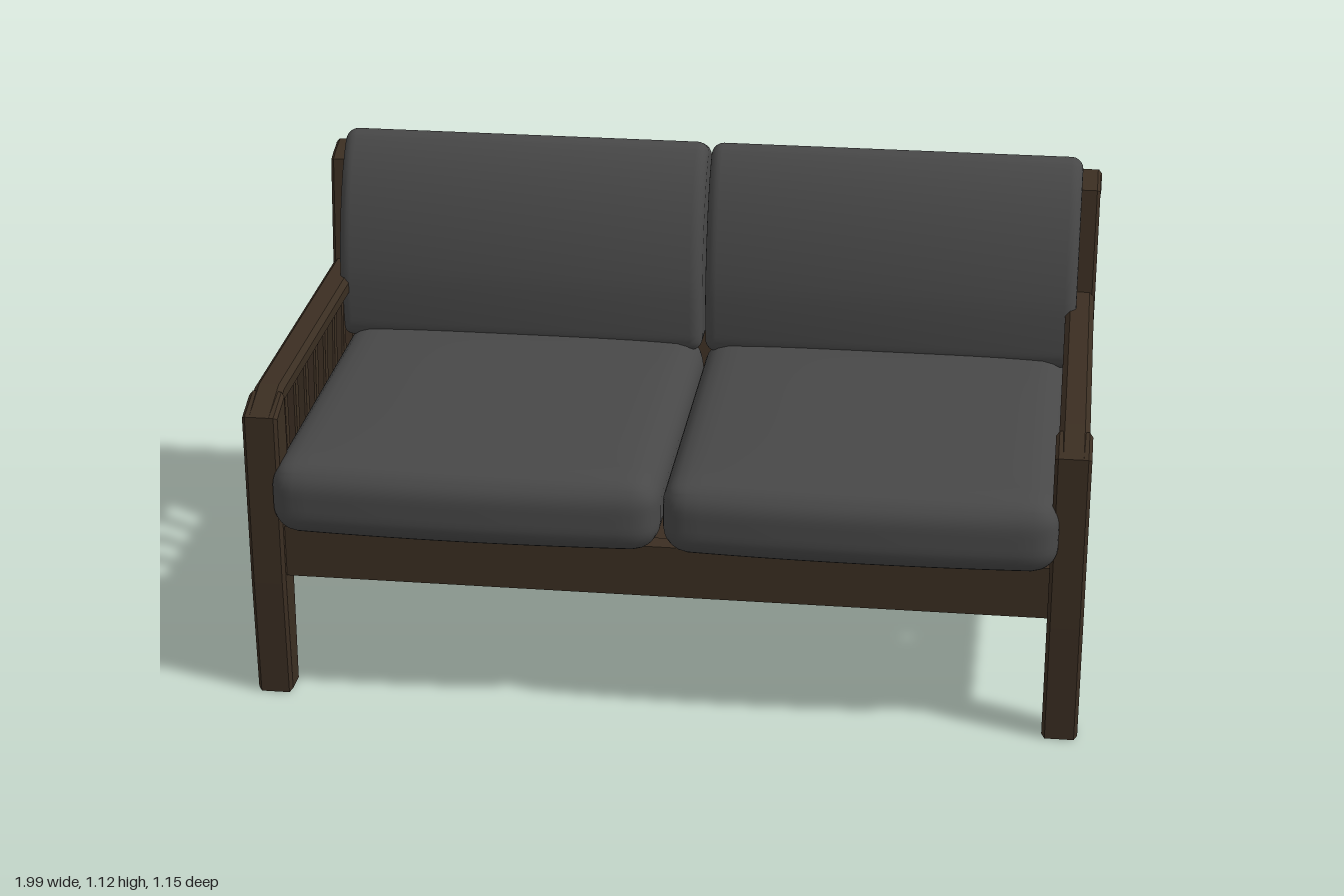
import * as THREE from 'three';
import { mergeVertices, toCreasedNormals } from 'three/addons/utils/BufferGeometryUtils.js';

export function createModel() {
  const root = new THREE.Group();
  root.name = 'twoSeatSofa';
  const wood = new THREE.MeshStandardMaterial({ color: 0x3b2e22 });
  wood.name = 'dark wood';
  const fabric = new THREE.MeshStandardMaterial({ color: 0x484848 });
  fabric.name = 'grey fabric';

  const add = (name, geometry, material = wood) => {
    const mesh = new THREE.Mesh(geometry, material);
    mesh.name = name;
    root.add(mesh);
    return mesh;
  };

  // Side profile of [z, y] points, extruded across x0..x1 with a bevelled edge
  const profile = (points, x0, x1, bevel = 0.008, steps = 1) => {
    const shape = points instanceof THREE.Shape ? points
      : new THREE.Shape(points.map(([z, y]) => new THREE.Vector2(z, y)));
    const g = new THREE.ExtrudeGeometry(shape, {
      depth: x1 - x0 - 2 * bevel, bevelEnabled: true, bevelThickness: bevel,
      bevelSize: bevel, bevelOffset: -bevel, bevelSegments: steps, curveSegments: 8,
    });
    return g.rotateY(-Math.PI / 2).translate(x1 - bevel, 0, 0);
  };
  const box = (x0, x1, y0, y1, z0, z1) =>
    new THREE.BoxGeometry(x1 - x0, y1 - y0, z1 - z0)
      .translate((x0 + x1) / 2, (y0 + y1) / 2, (z0 + z1) / 2);

  // Rounded box with a soft swelling of the top and front
  const seatCushion = (cx) => {
    const half = [0.464, 0.092, 0.485], r = 0.065;
    let g = new THREE.BoxGeometry(2, 2, 2, 24, 12, 24);
    g.deleteAttribute('normal');
    g.deleteAttribute('uv');
    g = mergeVertices(g);
    const p = g.attributes.position;
    const v = new THREE.Vector3(), core = new THREE.Vector3();
    for (let i = 0; i < p.count; i++) {
      v.fromBufferAttribute(p, i);
      const ease = (t) => Math.sin(t * Math.PI / 2);
      const u = ease(v.x), w = ease(v.z);
      v.set(u * half[0], v.y * half[1], w * half[2]);
      core.set(...half.map((h, k) => THREE.MathUtils.clamp(v.getComponent(k), r - h, h - r)));
      v.sub(core);
      if (v.length() > 0) v.setLength(r);
      v.add(core);
      const swell = (1 - u ** 4) * (1 - w ** 4);
      if (v.y > 0) v.y += 0.016 * swell * v.y / half[1];
      if (v.z > 0) v.z += 0.018 * (1 - u * u) * v.z / half[2];
      p.setXYZ(i, v.x + cx, v.y + 0.538, v.z + 0.072);
    }
    g.computeVertexNormals();
    return g;
  };

  // Leaning back cushion outline: curved front, rounded top, straight back
  const backShape = new THREE.Shape();
  backShape.moveTo(-0.33, 0.61);
  backShape.quadraticCurveTo(-0.305, 0.615, -0.302, 0.66);
  backShape.lineTo(-0.298, 0.76);
  backShape.bezierCurveTo(-0.305, 0.88, -0.35, 1.04, -0.435, 1.115);
  backShape.quadraticCurveTo(-0.455, 1.13, -0.48, 1.122);
  backShape.lineTo(-0.535, 1.1);
  backShape.quadraticCurveTo(-0.568, 1.085, -0.556, 1.04);
  backShape.lineTo(-0.46, 0.63);
  backShape.quadraticCurveTo(-0.45, 0.61, -0.42, 0.61);

  for (const s of [-1, 1]) {
    const side = s > 0 ? 'left' : 'right';
    const span = (a, b) => (s > 0 ? [a, b] : [-b, -a]);
    const [l0, l1] = span(0.91, 0.995);
    const [a0, a1] = span(0.917, 0.988);
    const [p0, p1] = span(0.93, 0.99);
    const [r0, r1] = span(0.925, 0.985);
    const [s0, s1] = span(0.935, 0.972);
    const [c0, c1] = span(0.004, 0.944);

    // Frame side: legs, armrest and rail
    add(side + 'FrontLeg', profile(
      [[0.5, 0], [0.51, 0.3], [0.51, 0.735], [0.42, 0.765], [0.42, 0.32], [0.427, 0]], l0, l1));
    add(side + 'Armrest', profile(
      [[0.51, 0.735], [0.49, 0.705], [0.42, 0.725], [-0.46, 0.725], [-0.46, 0.775], [0.4, 0.775]], a0, a1, 0.012));
    add(side + 'BackLeg', profile(
      [[-0.48, 0], [-0.382, 0.315], [-0.38, 0.46], [-0.438, 0.775], [-0.465, 1.04],
        [-0.5, 1.055], [-0.545, 1.067], [-0.575, 1.04], [-0.475, 0.48], [-0.475, 0.32], [-0.542, 0.01]], p0, p1));
    add(side + 'Rail', box(r0, r1, 0.315, 0.445, -0.43, 0.45));

    // Arm slats lean a little more towards the back
    for (let i = 0; i < 7; i++) {
      const top = 0.315 - i * 0.107, bottom = 0.315 - i * 0.099, h = 0.018;
      add(side + 'ArmSlat', profile(
        [[top + h, 0.735], [top - h, 0.735], [bottom - h, 0.435], [bottom + h, 0.435]], s0, s1, 0.004));
    }

    // Cushions
    add(side + 'SeatCushion', seatCushion(s * 0.467), fabric);
    add(side + 'BackCushion',
      toCreasedNormals(profile(backShape, c0, c1, 0.03, 5), 0.9), fabric);
  }

  // Long rails and centre stretcher
  add('frontRail', box(-0.93, 0.93, 0.315, 0.445, 0.44, 0.49));
  add('backRail', profile(
    [[-0.425, 0.315], [-0.425, 0.445], [-0.475, 0.465], [-0.475, 0.315]], -0.94, 0.94));
  add('topRail', profile(
    [[-0.515, 1.005], [-0.52, 1.05], [-0.55, 1.067], [-0.576, 1.04], [-0.568, 1.0]], -0.992, 0.992));
  add('centreStretcher', box(-0.035, 0.035, 0.325, 0.41, -0.43, 0.45));

  // Upright back slats of uneven widths
  const slats = [[0.78, 0.935], [0.6, 0.772], [0.32, 0.47], [0.13, 0.312], [-0.06, 0.03],
    [-0.25, -0.16], [-0.52, -0.36], [-0.68, -0.528], [-0.78, -0.715], [-0.91, -0.82]];
  for (const [x0, x1] of slats) {
    add('backSlat', profile(
      [[-0.435, 0.43], [-0.53, 1.02], [-0.558, 1.02], [-0.465, 0.43]], x0, x1, 0.004));
  }

  // Boards beneath the seat
  for (let i = 0; i < 6; i++) {
    const z = -0.42 + i * 0.145;
    add('seatBoard', box(-0.93, 0.93, 0.42, 0.44, z, z + 0.125));
  }
  return root;
}
